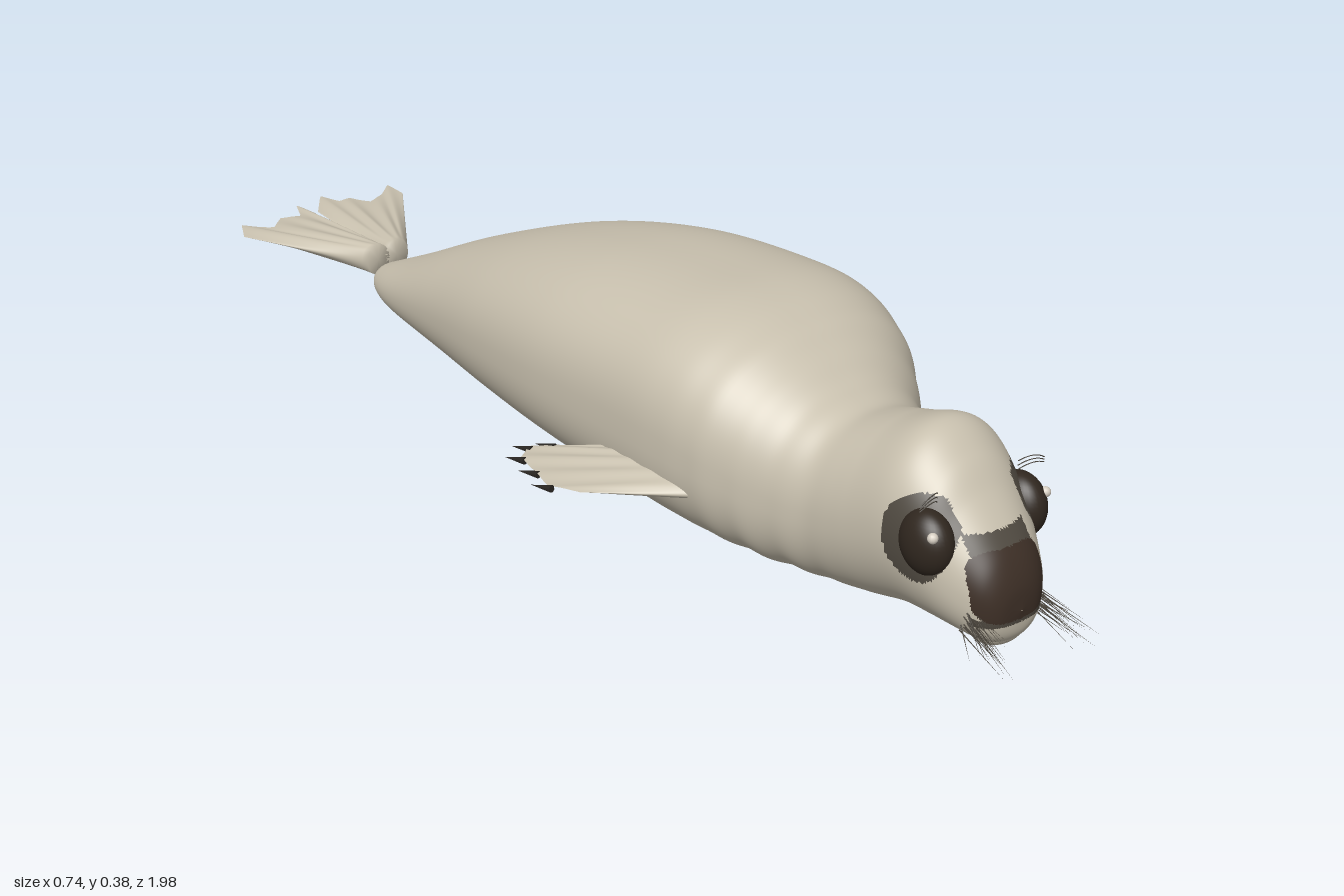
import * as THREE from 'three';

const mat = (name, color) => Object.assign(new THREE.MeshStandardMaterial({ color }), { name });
const V = (x, y, z) => new THREE.Vector3(x, y, z);

// Closed skin over rings; paint(x, y, z) picks a material index per face
function loft(rings, sides, point, paint = () => 0) {
  const pos = [], lists = [[], [], []];
  for (let i = 0; i <= rings; i++)
    for (let j = 0; j < sides; j++) pos.push(...point(i / rings, (j / sides) * Math.PI * 2));
  const add = (a, b, c) => {
    const mid = [0, 1, 2].map(k => (pos[a * 3 + k] + pos[b * 3 + k] + pos[c * 3 + k]) / 3);
    lists[paint(...mid)].push(a, b, c);
  };
  for (let i = 0; i < rings; i++)
    for (let j = 0; j < sides; j++) {
      const a = i * sides + j, b = i * sides + ((j + 1) % sides);
      add(a, b, a + sides);
      add(b, b + sides, a + sides);
    }
  const g = new THREE.BufferGeometry();
  g.setAttribute('position', new THREE.Float32BufferAttribute(pos, 3));
  g.setIndex(lists.flat());
  let start = 0;
  lists.forEach((l, k) => { if (l.length) g.addGroup(start, l.length, k); start += l.length; });
  g.computeVertexNormals();
  return g;
}

// Point on a polyline, u from 0 to 1
function along(points, u) {
  const s = Math.min(u, 0.99999) * (points.length - 1), i = Math.floor(s);
  return points[i].clone().lerp(points[i + 1], s - i);
}

// Flipper: flat web from a thick root line to a scalloped row of tips
function flipper(root, tips, thick, toes) {
  const middle = along(root, 0.5);
  return loft(24, 96, (v, a) => {
    if (v === 0) return middle.toArray();
    const s = (v - 1 / 24) / (23 / 24), u = (1 - Math.cos(a)) / 2;
    const p = along(root, u).lerp(along(tips, u), s);
    const ridge = 1 - 0.3 * s * Math.cos(u * toes * Math.PI * 2);
    p.y += Math.sin(a) * (thick * (1 - s) + 0.003 * s) * ridge;
    return p.toArray();
  });
}

// Thin tapered spike from a point along a direction
function spike(from, dir, radius, sides) {
  const len = dir.length();
  const g = new THREE.ConeGeometry(radius, len, sides).translate(0, len / 2, 0);
  g.applyQuaternion(new THREE.Quaternion().setFromUnitVectors(V(0, 1, 0), dir.clone().normalize()));
  return g.translate(from.x, from.y, from.z);
}

// Body sections: z, centre x, half width, bottom, top, squareness
const SECTIONS = [
  [-0.715, -0.066, 0.002, 0.05, 0.054, 2],
  [-0.70, -0.066, 0.03, 0.028, 0.072, 2],
  [-0.66, -0.062, 0.055, 0.012, 0.092, 2],
  [-0.58, -0.05, 0.09, 0.004, 0.13, 2.1],
  [-0.40, -0.035, 0.145, 0, 0.22, 2.2],
  [-0.20, -0.018, 0.205, 0, 0.30, 2.3],
  [0.0, -0.01, 0.238, 0, 0.35, 2.4],
  [0.2, -0.005, 0.245, 0, 0.371, 2.5],
  [0.32, -0.008, 0.238, 0, 0.374, 2.5],
  [0.42, -0.017, 0.212, 0, 0.35, 2.4],
  [0.50, -0.027, 0.165, 0, 0.305, 2.3],
  [0.57, -0.035, 0.13, 0.006, 0.286, 2.2],
  [0.65, -0.037, 0.124, 0.02, 0.31, 2.1],
  [0.73, -0.04, 0.12, 0.042, 0.336, 2.1],
  [0.79, -0.046, 0.108, 0.05, 0.304, 2.1],
  [0.83, -0.05, 0.095, 0.053, 0.262, 2.1],
  [0.87, -0.054, 0.075, 0.055, 0.22, 2.2],
  [0.895, -0.056, 0.058, 0.062, 0.188, 2.3],
  [0.91, -0.057, 0.035, 0.08, 0.155, 2.2],
  [0.915, -0.057, 0.001, 0.117, 0.119, 2],
];

export function createModel() {
  const group = new THREE.Group();
  group.name = 'seal';
  const skin = mat('skin', 0xc8c0ae), nose = mat('nose', 0x3d2f26), dark = mat('darkFur', 0x504a41);
  const eyeMat = mat('eye', 0x30271f), claw = mat('claw', 0x2a2622), glint = mat('eyeGlint', 0xd8d0c4);
  const add = (name, geo, material) => {
    const m = new THREE.Mesh(geo, material);
    m.name = name;
    group.add(m);
    return m;
  };

  // Body and head in one skin, with neck folds and painted nose and eye rims
  const n = SECTIONS.length - 1;
  const spline = new THREE.CubicInterpolant(
    new Float32Array(SECTIONS.map((_, i) => i)), new Float32Array(SECTIONS.flat()), 6, new Float32Array(6));
  const bodyPoint = (v, a) => {
    const [z, cx, w, lo, hi, e] = spline.evaluate(v * n);
    const fold = 1 + 0.012 * Math.sin(z * 95) * Math.exp(-(((z - 0.5) / 0.09) ** 2));
    const round = t => Math.sign(t) * Math.abs(t) ** (2 / e);
    const y = (lo + hi) / 2 + (round(Math.sin(a)) * (hi - lo) * fold) / 2;
    return [cx + round(Math.cos(a)) * Math.max(w, 0.001) * fold, Math.max(y, 0), z];
  };
  const paint = (x, y, z) => {
    if (z < 0.7) return 0;
    const dx = Math.abs(x + 0.061);
    if (z > 0.8 && (dx / 0.063) ** 4 + ((y - 0.155) / 0.05) ** 4 < 1) return 1;
    if (z > 0.8 && dx < 0.052 && y > 0.19 && y < 0.225) return 2;
    if (z > 0.8 && dx < 0.06 && y > 0.099 && y < 0.112) return 2;
    const rim = ((z - 0.79) / 0.056) ** 2 + ((y - 0.205) / 0.064) ** 2;
    return Math.abs(x + 0.048) > 0.06 && rim < 1 ? 2 : 0;
  };
  add('body', loft(n * 12, 128, bodyPoint, paint), [skin, nose, dark]);

  // Chin
  add('chin', new THREE.SphereGeometry(1, 32, 20).scale(0.045, 0.028, 0.032).translate(-0.057, 0.077, 0.872), skin);

  // Eyes with glints, brows and whiskers
  let seed = 7;
  const rnd = () => (seed = (seed * 16807) % 2147483647) / 2147483647;
  for (const s of [-1, 1]) {
    const side = s < 0 ? 'right' : 'left';
    const ex = -0.046 + s * 0.089;
    add(side + 'Eye', new THREE.SphereGeometry(1, 32, 24).scale(0.033, 0.05, 0.046).translate(ex, 0.203, 0.802), eyeMat);
    add(side + 'EyeGlint', new THREE.SphereGeometry(0.008, 12, 8).translate(ex + s * 0.019, 0.228, 0.832), glint);
    for (let k = 0; k < 3; k++) {
      const brow = new THREE.QuadraticBezierCurve3(
        V(ex - s * 0.012, 0.262 + k * 0.007, 0.805), V(ex + s * 0.004, 0.28 + k * 0.006, 0.82), V(ex + s * 0.03, 0.265 + k * 0.004, 0.815));
      add(side + 'Brow', new THREE.TubeGeometry(brow, 8, 0.0009, 4), dark);
    }
    for (let k = 0; k < 26; k++) {
      const from = V(-0.057 + s * (0.048 + rnd() * 0.022), 0.085 + rnd() * 0.04, 0.855 + rnd() * 0.025);
      const dir = V(s * (rnd() * 0.035 - 0.002), -0.005 - rnd() * 0.035, 0.04 + rnd() * 0.07);
      add(side + 'Whisker', spike(from, dir, 0.0011, 4), dark);
    }
  }

  // Front flippers, each with five claws
  const front = [
    ['right', [V(-0.215, 0.128, 0.41), V(-0.235, 0.128, 0.2)],
      [V(-0.34, 0.115, 0.27), V(-0.363, 0.11, 0.22), V(-0.352, 0.109, 0.17), V(-0.342, 0.108, 0.12), V(-0.315, 0.11, 0.1), V(-0.285, 0.113, 0.12), V(-0.265, 0.118, 0.16)]],
    ['left', [V(0.225, 0.128, 0.19), V(0.185, 0.128, 0.41)],
      [V(0.25, 0.118, 0.15), V(0.265, 0.113, 0.135), V(0.295, 0.11, 0.135), V(0.325, 0.108, 0.135), V(0.352, 0.107, 0.14), V(0.352, 0.11, 0.18), V(0.32, 0.115, 0.25)]],
  ];
  for (const [side, root, tips] of front) {
    add(side + 'FrontFlipper', flipper(root, tips, 0.02, 5), skin);
    const s = side === 'left' ? 1 : -1;
    tips.slice(1, 6).forEach(t =>
      add(side + 'Claw', spike(t.clone().add(V(0, 0.001, 0.01)), V(s * 0.01, -0.007, -0.04), 0.006, 8), claw));
  }

  // Hind flippers, fanned out flat with ragged tips
  const flat = pts => pts.map(([x, z]) => V(x, 0.094, z));
  add('rightHindFlipper', flipper([V(-0.108, 0.085, -0.7), V(-0.062, 0.085, -0.7)],
    flat([[-0.238, -0.92], [-0.217, -0.966], [-0.175, -0.918], [-0.142, -0.952], [-0.108, -0.935], [-0.088, -0.985], [-0.076, -0.94]]), 0.03, 4), skin);
  add('leftHindFlipper', flipper([V(-0.07, 0.085, -0.7), V(-0.022, 0.085, -0.7)],
    flat([[-0.068, -0.94], [-0.028, -0.998], [-0.01, -0.955], [0.012, -0.955], [0.035, -0.915], [0.07, -0.935], [0.104, -0.968], [0.108, -0.92]]), 0.03, 4), skin);

  return group;
}
